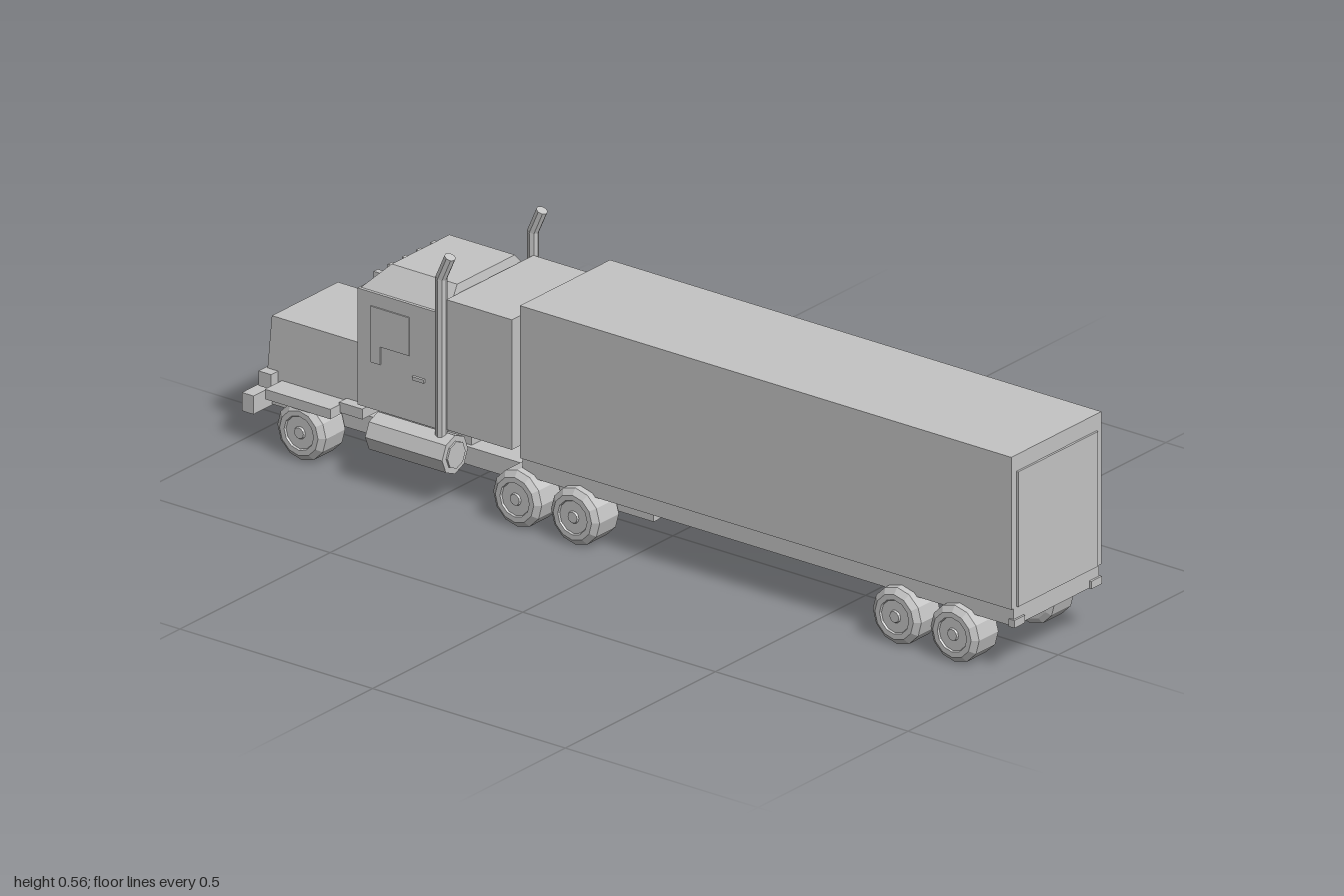
import * as THREE from 'three';

export function createModel() {
  const truck = new THREE.Group();
  truck.name = 'semiTruck';
  const paint = new THREE.MeshStandardMaterial({ color: 0xc4c4c4, flatShading: true });
  paint.name = 'grey';

  const add = (name, geometry, x = 0, y = 0, z = 0) => {
    const mesh = new THREE.Mesh(geometry, paint);
    mesh.name = name;
    mesh.position.set(x, y, z);
    truck.add(mesh);
    return mesh;
  };
  // Box given by its limits on each axis
  const box = (name, x0, x1, y0, y1, z0, z1) =>
    add(name, new THREE.BoxGeometry(x1 - x0, y1 - y0, z1 - z0), (x0 + x1) / 2, (y0 + y1) / 2, (z0 + z1) / 2);
  // Matching boxes on both sides
  const pair = (name, x0, x1, y0, y1, z0, z1) => {
    box(name + 'Left', x0, x1, y0, y1, z0, z1);
    box(name + 'Right', -x1, -x0, y0, y1, z0, z1);
  };
  // Box whose top rectangle differs from its bottom: half width, z0, z1
  const taper = (name, y0, y1, bottom, top) => {
    const g = new THREE.BoxGeometry(2, 1, 2);
    const p = g.attributes.position;
    for (let i = 0; i < p.count; i++) {
      const up = p.getY(i) > 0;
      const [w, za, zb] = up ? top : bottom;
      p.setXYZ(i, p.getX(i) * w, up ? y1 : y0, p.getZ(i) < 0 ? za : zb);
    }
    g.computeVertexNormals();
    return add(name, g);
  };
  // Cylinder between two points
  const rod = (name, a, b, r, sides = 8) => {
    const from = new THREE.Vector3(...a), to = new THREE.Vector3(...b);
    const dir = to.clone().sub(from);
    const mid = from.clone().add(to).multiplyScalar(0.5);
    const mesh = add(name, new THREE.CylinderGeometry(r, r, dir.length(), sides), mid.x, mid.y, mid.z);
    mesh.quaternion.setFromUnitVectors(new THREE.Vector3(0, 1, 0), dir.normalize());
    return mesh;
  };

  // Trailer
  box('trailerBody', -0.15, 0.15, 0.15, 0.49, -0.28, 0.995);
  box('trailerFrame', -0.142, 0.142, 0.11, 0.15, -0.28, 0.995);
  box('trailerDoor', -0.133, 0.133, 0.152, 0.453, 0.994, 1.0);
  pair('tailLight', 0.11, 0.146, 0.109, 0.126, 0.985, 1.0);

  // Tractor chassis and bumper
  box('chassis', -0.09, 0.09, 0.067, 0.107, -0.97, 0.02);
  box('cabMount', -0.08, 0.08, 0.105, 0.16, -0.65, -0.46);
  box('hoodMount', -0.08, 0.08, 0.105, 0.125, -0.89, -0.79);
  box('bumper', -0.152, 0.152, 0.065, 0.106, -1.0, -0.97);

  // Sleeper and cab
  box('sleeper', -0.145, 0.145, 0.16, 0.45, -0.475, -0.305);
  box('cab', -0.145, 0.145, 0.155, 0.415, -0.706, -0.475);
  taper('roofFairing', 0.415, 0.465, [0.138, -0.702, -0.476], [0.096, -0.655, -0.485]);
  box('windscreen', -0.125, 0.125, 0.288, 0.382, -0.713, -0.705);
  pair('sideWindow', 0.144, 0.148, 0.3, 0.385, -0.67, -0.57);
  pair('quarterWindow', 0.144, 0.148, 0.26, 0.3, -0.67, -0.645);
  pair('doorHandle', 0.144, 0.151, 0.25, 0.258, -0.56, -0.53);
  for (let i = -2; i <= 2; i++) {
    box('markerLight', i * 0.047 - 0.007, i * 0.047 + 0.007, 0.425, 0.439, -0.698, -0.68);
  }

  // Hood, grille, headlights and fenders
  taper('hood', 0.122, 0.275, [0.116, -0.965, -0.697], [0.11, -0.955, -0.702]);
  pair('grilleSide', 0.078, 0.086, 0.125, 0.24, -0.975, -0.955);
  box('grilleTop', -0.086, 0.086, 0.232, 0.24, -0.975, -0.955);
  for (let i = -3; i <= 3; i++) {
    box('grilleBar', i * 0.022 - 0.004, i * 0.022 + 0.004, 0.125, 0.235, -0.973, -0.955);
  }
  pair('headlight', 0.1, 0.138, 0.125, 0.158, -0.968, -0.935);
  pair('fender', 0.1, 0.172, 0.118, 0.14, -0.925, -0.755);
  pair('hoodSill', 0.1, 0.14, 0.122, 0.145, -0.757, -0.697);

  // Fuel tanks and bent exhaust stacks
  for (const s of [1, -1]) {
    rod('fuelTank', [s * 0.148, 0.112, -0.65], [s * 0.148, 0.112, -0.45], 0.043, 8);
    rod('fuelTankCap', [s * 0.148, 0.112, -0.654], [s * 0.148, 0.112, -0.446], 0.03, 8);
    rod('exhaustStack', [s * 0.153, 0.14, -0.482], [s * 0.153, 0.503, -0.482], 0.0125);
    rod('exhaustTip', [s * 0.153, 0.498, -0.483], [s * 0.153, 0.552, -0.459], 0.0125);
  }

  // Wheels with bulging sidewalls and a raised hub, joined by axles
  const profile = [
    [0, 0.088], [0.05, 0.088], [0.063, 0.094], [0.063, 0.158], [0.05, 0.168],
    [0.038, 0.168], [0.036, 0.164], [0.014, 0.164], [0.012, 0.168], [0, 0.168],
  ].map(([r, y]) => new THREE.Vector2(r, y));
  const wheel = new THREE.LatheGeometry(profile, 12);
  for (const z of [-0.84, -0.28, -0.13, 0.705, 0.855]) {
    rod('axle', [-0.1, 0.063, z], [0.1, 0.063, z], 0.012);
    for (const s of [1, -1]) add('wheel', wheel, 0, 0.063, z).rotation.z = -s * Math.PI / 2;
  }
  return truck;
}
